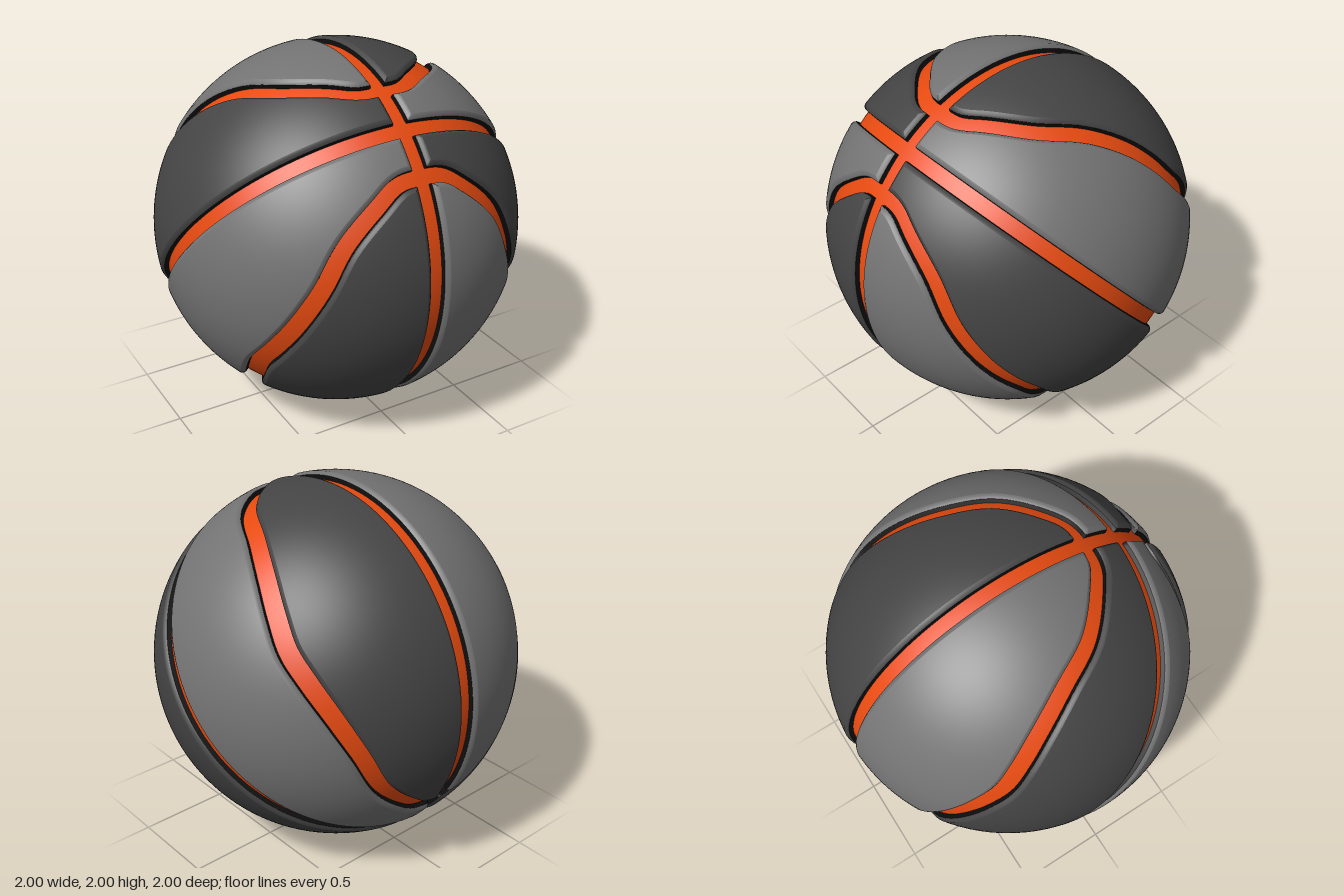
import * as THREE from 'three';
import { mergeGeometries } from 'three/addons/utils/BufferGeometryUtils.js';

const mat = (name, color) => Object.assign(new THREE.MeshStandardMaterial({ color }), { name });

// Ball frame: u = sideways, v = towards the seam crossing, w = towards a cap.
const TILT = THREE.MathUtils.degToRad(48.6);
const SIN = Math.sin(TILT), COS = Math.cos(TILT);
const toWorld = (p) => new THREE.Vector3(p.x, SIN * p.y + COS * p.z, COS * p.y - SIN * p.z);

// Closed bell-shaped seam, made from one quarter by mirroring.
const quarter = [[0, 0.968], [0.13, 0.957], [0.26, 0.908], [0.437, 0.785],
  [0.56, 0.6], [0.66, 0.38], [0.72, 0.18], [0.745, 0]];
const half = [...quarter, ...quarter.slice(0, -1).reverse().map(([u, v]) => [u, -v])];
const loop = [...half, ...half.slice(1, -1).reverse().map(([u, v]) => [-u, v])];
const seam = new THREE.CatmullRomCurve3(
  loop.map(([u, v]) => new THREE.Vector3(u, v, Math.sqrt(1 - u * u - v * v))), true);

// Point on the seam moved sideways over the sphere; side +1 is towards the cap.
function seamOffset(t, d, side) {
  const p = seam.getPoint(t).normalize();
  const n = seam.getTangent(t).cross(p).normalize();
  if (n.z < 0) n.negate();
  const widen = 0.011 * (p.x / 0.745) ** 2;
  return p.addScaledVector(n, side * (d + widen)).normalize();
}

// Panel edge profile: distance from the seam centre, and radius.
const EDGE = [[0.066, 1], [0.052, 0.995], [0.042, 0.983], [0.039, 0.95]];
const NT = 72, NS = 18;

// Grid of points filling a panel whose edge lies d away from the seam centres.
function panelGrid(isCap, d, r, sx, sw) {
  const side = isCap ? 1 : -1;
  let lo = 0, hi = 0.12;
  for (let k = 0; k < 30; k++) {
    const m = (lo + hi) / 2;
    if (seamOffset(m, d, side).x < d) lo = m; else hi = m;
  }
  const grid = [];
  for (let i = 0; i <= NT; i++) {
    const a = seamOffset(lo + (0.5 - 2 * lo) * i / NT, d, side);
    const k = Math.sqrt(1 - d * d), th = Math.atan2(a.x, a.y);
    const b = isCap
      ? new THREE.Vector3(d, a.y, Math.sqrt(Math.max(0, 1 - d * d - a.y * a.y)))
      : new THREE.Vector3(k * Math.sin(th), k * Math.cos(th), d);
    const row = [];
    for (let j = 0; j <= NS; j++) {
      const p = a.clone().lerp(b, j / NS).normalize().multiplyScalar(r);
      row.push(toWorld(p.set(p.x * sx, p.y, p.z * sw)));
    }
    grid.push(row);
  }
  return grid;
}

// The outline of a grid, in order.
function outline(grid) {
  const ring = [];
  for (let i = 0; i < NT; i++) ring.push(grid[i][0]);
  for (let j = 0; j < NS; j++) ring.push(grid[NT][j]);
  for (let i = NT; i > 0; i--) ring.push(grid[i][NS]);
  for (let j = NS; j > 0; j--) ring.push(grid[0][j]);
  return ring;
}

// Surface through rows of points.
function sheet(rows, closed, flip) {
  const n = rows[0].length, index = [];
  for (let i = 0; i < rows.length - 1; i++) {
    for (let j = 0; j < (closed ? n : n - 1); j++) {
      const k = (j + 1) % n;
      const a = i * n + j, b = (i + 1) * n + j, c = (i + 1) * n + k, e = i * n + k;
      if (flip) index.push(a, c, b, a, e, c);
      else index.push(a, b, c, a, c, e);
    }
  }
  const g = new THREE.BufferGeometry().setFromPoints(rows.flat());
  g.setIndex(index);
  g.computeVertexNormals();
  return g;
}

function buildPanel(isCap, sx, sw, skin, wallMat) {
  const grids = EDGE.map(([d, r]) => panelGrid(isCap, d, r, sx, sw));
  const g = grids[0], i = NT / 2, j = NS / 2;
  const facing = g[i + 1][j].clone().sub(g[i][j])
    .cross(g[i + 1][j + 1].clone().sub(g[i][j])).dot(g[i][j]);
  const flip = facing < 0;
  const rings = grids.map(outline);

  // Smooth outer skin with exact sphere normals
  const top = sheet(g, false, flip);
  const flat = g.flat(), normals = top.attributes.normal;
  flat.forEach((p, k) => normals.setXYZ(k, p.x, p.y, p.z));

  const panel = new THREE.Group();
  const bevel = sheet(rings.slice(0, 3), true, flip);
  const surface = new THREE.Mesh(mergeGeometries([top, bevel]), skin);
  surface.name = 'panelSurface';
  const wall = new THREE.Mesh(sheet(rings.slice(2), true, flip), wallMat);
  wall.name = 'panelWall';
  panel.add(surface, wall);
  return panel;
}

export function createModel() {
  const lightGrey = mat('lightGrey', 0x737373);
  const darkGrey = mat('darkGrey', 0x444444);
  const orange = mat('orange', 0xe64a10);
  const black = mat('black', 0x0e0e0e);

  const ball = new THREE.Group();
  ball.name = 'ball';
  ball.position.y = 1;

  // Inner core showing through the seams
  const core = new THREE.Mesh(new THREE.SphereGeometry(0.96, 96, 64), orange);
  core.name = 'core';
  ball.add(core);

  // Eight panels in alternating greys
  for (const sx of [1, -1]) {
    for (const sw of [1, -1]) {
      for (const isCap of [true, false]) {
        const light = (isCap ? 1 : -1) * sx * sw < 0;
        const panel = buildPanel(isCap, sx, sw, light ? lightGrey : darkGrey, black);
        panel.name = `${sx > 0 ? 'left' : 'right'}${sw > 0 ? 'Upper' : 'Lower'}${isCap ? 'Cap' : 'Band'}Panel`;
        ball.add(panel);
      }
    }
  }

  const model = new THREE.Group();
  model.name = 'panelledBall';
  model.add(ball);
  return model;
}
